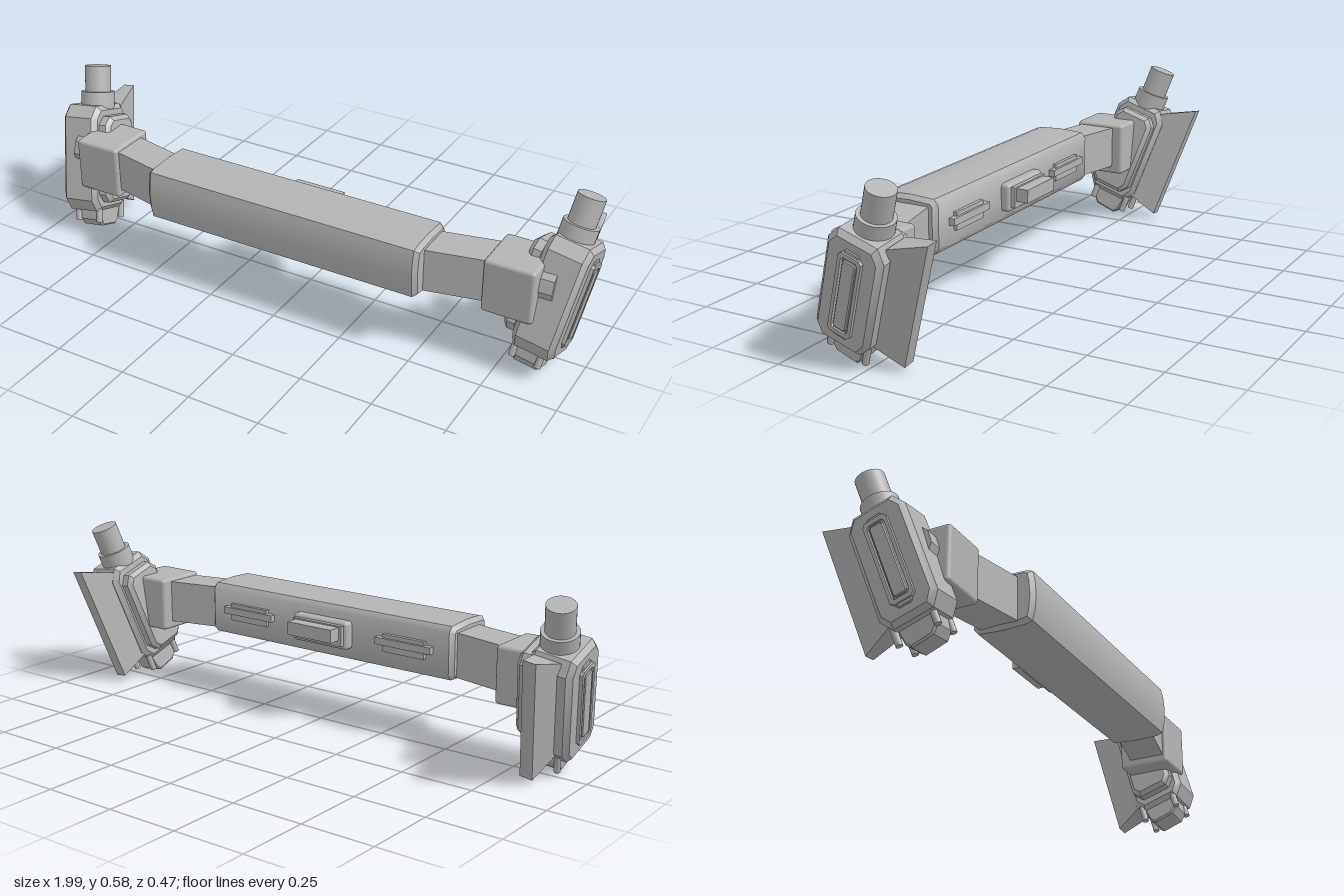
import * as THREE from 'three';
import { toCreasedNormals } from 'three/addons/utils/BufferGeometryUtils.js';
import { RoundedBoxGeometry } from 'three/addons/geometries/RoundedBoxGeometry.js';

const grey = new THREE.MeshStandardMaterial({ color: 0xb4b4b4 });
grey.name = 'plain grey';

function add(parent, name, geometry, x = 0, y = 0, z = 0) {
  const mesh = new THREE.Mesh(geometry, grey);
  mesh.name = name;
  mesh.position.set(x, y, z);
  parent.add(mesh);
  return mesh;
}

// Solid with a (z, y) outline, running along x from x0 to x1, with bevelled ends
function prism(outline, x0, x1, bevel = 0.01, crease = 0.5) {
  const a = Math.min(x0, x1), b = Math.max(x0, x1);
  const shape = new THREE.Shape(outline.map(([z, y]) => new THREE.Vector2(-z, y)));
  const g = new THREE.ExtrudeGeometry(shape, {
    depth: b - a - 2 * bevel, bevelEnabled: bevel > 0, bevelSize: bevel,
    bevelThickness: bevel, bevelOffset: -bevel, bevelSegments: 1,
  });
  g.translate(0, 0, a + bevel);
  g.rotateY(Math.PI / 2);
  return toCreasedNormals(g, crease);
}

// Rectangle outline with cut corners
function octagon(hz, hy, cz, cy = cz, z = 0, y = 0) {
  return [
    [hz, hy - cy], [hz - cz, hy], [cz - hz, hy], [-hz, hy - cy],
    [-hz, cy - hy], [cz - hz, -hy], [hz - cz, -hy], [hz, cy - hy],
  ].map(([a, b]) => [a + z, b + y]);
}

// Box whose cross-section narrows or shifts; rule edits each vertex
function shapedBox(w, h, d, rule) {
  const g = new THREE.BoxGeometry(w, h, d).toNonIndexed();
  const p = g.attributes.position, v = new THREE.Vector3();
  for (let i = 0; i < p.count; i++) {
    rule(v.fromBufferAttribute(p, i));
    p.setXYZ(i, v.x, v.y, v.z);
  }
  g.computeVertexNormals();
  return g;
}

function buildCentre(model) {
  const centre = new THREE.Group();
  centre.name = 'centreHousing';
  model.add(centre);

  // Long housing with a softly rounded front
  const outline = [
    [0.02, 0.24], [0.035, 0.222], [0.12, 0.216], [0.2, 0.219], [0.222, 0.226],
    [0.23, 0.26], [0.234, 0.31], [0.23, 0.36], [0.222, 0.395],
    [0.2, 0.402], [0.12, 0.405], [0.035, 0.4], [0.02, 0.382],
  ];
  add(centre, 'housing', prism(outline, -0.505, 0.505, 0.014, 0.7));

  // Rear connector
  add(centre, 'connectorBase', new RoundedBoxGeometry(0.225, 0.095, 0.045, 2, 0.012), 0, 0.31, 0.012);
  add(centre, 'connectorStep', new THREE.BoxGeometry(0.2, 0.07, 0.02), 0, 0.312, -0.015);
  add(centre, 'connectorBlock', new THREE.BoxGeometry(0.18, 0.045, 0.055), 0, 0.32, -0.04);

  // Rear clips
  for (const s of [-1, 1]) {
    add(centre, 'clipPlate', new THREE.BoxGeometry(0.16, 0.06, 0.016), s * 0.325, 0.31, 0.016);
    add(centre, 'clipBar', new THREE.BoxGeometry(0.215, 0.024, 0.024), s * 0.325, 0.315, 0.012);
  }
}

function buildSide(model, s) {
  const side = new THREE.Group();
  side.name = s > 0 ? 'leftSide' : 'rightSide';
  model.add(side);

  // Swept-back arm and its socket
  add(side, 'arm', shapedBox(0.28, 0.148, 0.13, v => { v.z -= s * v.x * 0.215; }), s * 0.6, 0.304, 0.092);
  add(side, 'socket', new RoundedBoxGeometry(0.17, 0.188, 0.185, 2, 0.012), s * 0.775, 0.296, 0.06);
  const hub = new THREE.CylinderGeometry(0.07, 0.07, 0.13, 10);
  hub.rotateZ(Math.PI / 2);
  add(side, 'hub', toCreasedNormals(hub, 0.5), s * 0.84, 0.31, 0.05);

  // Leaning pod: top tips outwards and backwards
  const pod = new THREE.Group();
  pod.name = 'pod';
  pod.position.set(s * 0.9, 0.255, 0.02);
  pod.rotation.set(-0.315, 0, -s * 0.155);
  side.add(pod);
  const cx = -0.02 * s;

  add(pod, 'podBody', prism(octagon(0.098, 0.19, 0.03, 0.042), s * -0.08, s * 0.065, 0.016));
  add(pod, 'innerStep', prism(octagon(0.078, 0.155, 0.025, 0.03), s * -0.125, s * -0.07, 0.014));

  // Stepped panel on the outer face
  add(pod, 'panelFoot', prism(octagon(0.026, 0.15, 0.006), s * 0.06, s * 0.07, 0.003));
  const frame = new THREE.Shape(octagon(0.04, 0.138, 0.01).map(([z, y]) => new THREE.Vector2(z, y)));
  frame.holes.push(new THREE.Path(octagon(0.029, 0.124, 0.008).reverse().map(([z, y]) => new THREE.Vector2(z, y))));
  const frameGeo = new THREE.ExtrudeGeometry(frame, { depth: 0.016, bevelEnabled: false });
  frameGeo.translate(0, 0, -0.008);
  frameGeo.rotateY(Math.PI / 2);
  add(pod, 'panelFrame', frameGeo, s * 0.068);
  add(pod, 'panelInset', prism(octagon(0.023, 0.118, 0.007), s * 0.06, s * 0.077, 0.003));

  // Stepped post on top
  const tube = (r, y0, y1, n = 32) => {
    const g = new THREE.CylinderGeometry(r, r, y1 - y0, n);
    g.translate(0, (y0 + y1) / 2, 0);
    return g;
  };
  add(pod, 'collar', tube(0.059, 0.16, 0.236), cx, 0, -0.003);
  add(pod, 'post', tube(0.046, 0.23, 0.328), cx, 0, -0.004);

  // Wedge-shaped rear fin: longer and thinner at its trailing edge
  const fin = shapedBox(1, 1, 1, v => {
    const outer = v.z < 0, top = v.y > 0;
    v.x = Math.sign(v.x) * (outer ? 0.021 : 0.045);
    v.y = outer ? (top ? 0.243 : -0.19) : (top ? 0.182 : -0.158);
    v.z = outer ? -0.193 : -0.08;
  });
  add(pod, 'fin', fin, cx);

  // Plug and pins underneath
  const plug = [
    [0.058, -0.18], [0.052, -0.225], [0.03, -0.248],
    [-0.045, -0.252], [-0.06, -0.235], [-0.07, -0.18],
  ];
  add(pod, 'plug', prism(plug, cx - 0.045, cx + 0.045, 0.006));
  for (const z of [0.054, -0.076]) {
    for (const x of [-0.045, 0.045]) {
      add(pod, 'pin', tube(0.011, -0.23, -0.17, 12), cx + x, 0, z);
    }
  }
}

export function createModel() {
  const model = new THREE.Group();
  model.name = 'crossbar';
  buildCentre(model);
  for (const s of [-1, 1]) buildSide(model, s);
  return model;
}
